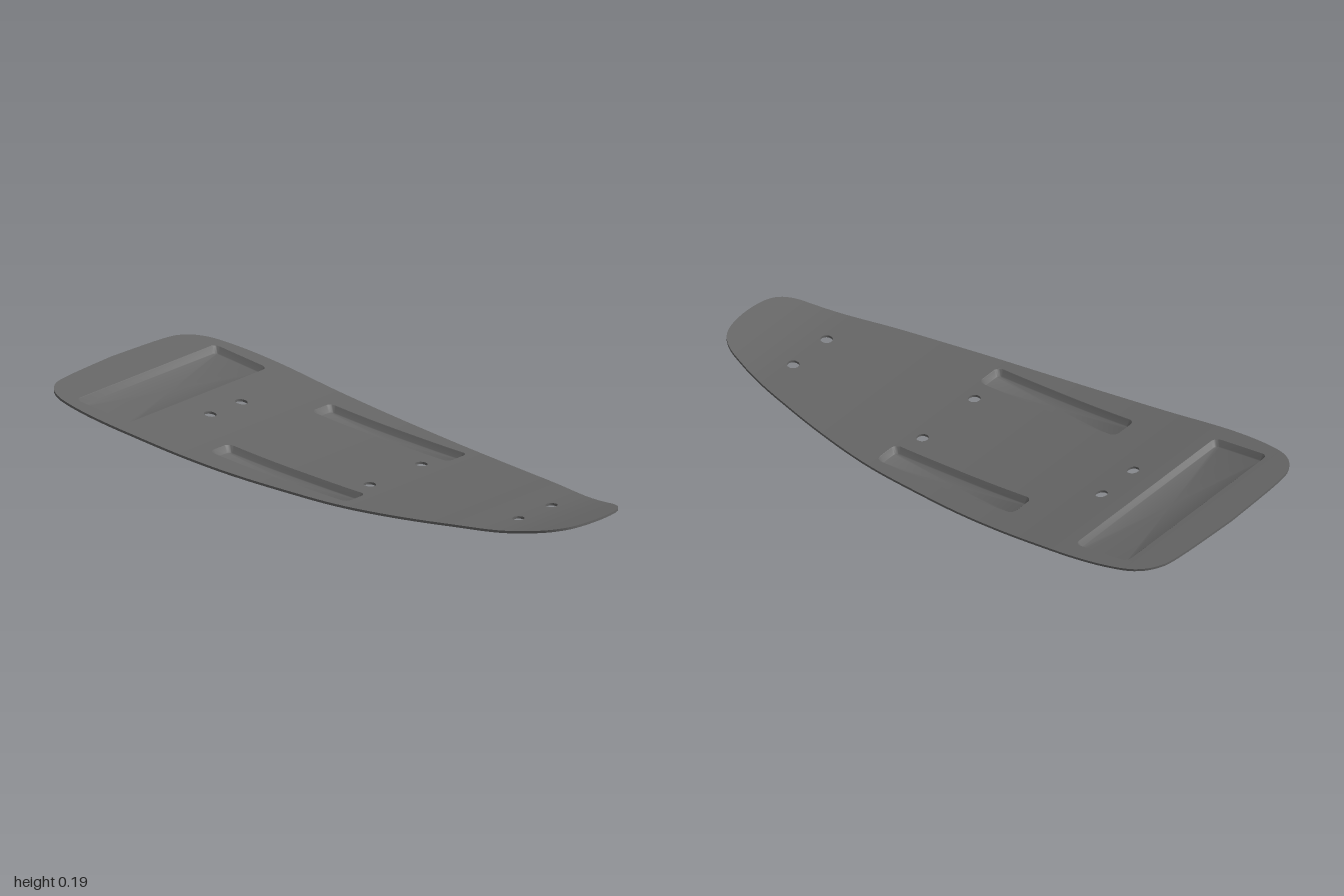
import * as THREE from 'three';
import { toCreasedNormals } from 'three/addons/utils/BufferGeometryUtils.js';

const THICK = 0.008;
const STEP = 0.04;

// Height of the plate's upper face, every 0.2 along z from -1.2 to 1.2
const heights = [0.215, 0.187, 0.155, 0.123, 0.09, 0.064, 0.045, 0.03, 0.024, 0.024, 0.027, 0.058, 0.1];
const profile = new THREE.SplineCurve(heights.map((y, i) => new THREE.Vector2(-1.2 + 0.2 * i, y)));
const height = (z) => profile.getPoint((z + 1.2) / 2.4).y;
const slope = (z) => (height(z + 0.005) - height(z - 0.005)) / 0.01;

// Keep the part of a polygon where side * (z - limit) >= 0
function clip(poly, limit, side) {
  const out = [];
  poly.forEach((a, i) => {
    const b = poly[(i + 1) % poly.length];
    const da = side * (a[2] - limit), db = side * (b[2] - limit);
    if (da >= 0) out.push(a);
    if ((da > 0 && db < 0) || (da < 0 && db > 0)) {
      const t = da / (da - db);
      out.push(a.map((v, k) => v + (b[k] - v) * t));
    }
  });
  return out;
}

// Slice a flat part into strips across z, then lift it onto the curved profile
function bend(geometry) {
  const flat = geometry.index ? geometry.toNonIndexed() : geometry;
  flat.rotateX(Math.PI / 2);
  const p = flat.attributes.position, n = flat.attributes.normal;
  const positions = [], normals = [];
  const put = ([x, y, z, nx, ny, nz]) => {
    positions.push(x, y + height(z), z);
    const v = new THREE.Vector3(nx, ny, nz - slope(z) * ny).normalize();
    normals.push(v.x, v.y, v.z);
  };
  for (let i = 0; i < p.count; i += 3) {
    const tri = [0, 1, 2].map((k) => [
      p.getX(i + k), p.getY(i + k), p.getZ(i + k), n.getX(i + k), n.getY(i + k), n.getZ(i + k)]);
    const zs = tri.map((v) => v[2]);
    const first = Math.floor(Math.min(...zs) / STEP), last = Math.floor(Math.max(...zs) / STEP);
    for (let s = first; s <= last; s++) {
      const piece = clip(clip(tri, s * STEP, 1), (s + 1) * STEP, -1);
      for (let k = 1; k + 1 < piece.length; k++) [piece[0], piece[k], piece[k + 1]].forEach(put);
    }
  }
  const g = new THREE.BufferGeometry();
  g.setAttribute('position', new THREE.Float32BufferAttribute(positions, 3));
  g.setAttribute('normal', new THREE.Float32BufferAttribute(normals, 3));
  return g;
}

// Counter-clockwise rounded rectangle as a loop of points
function roundedLoop(cx, cz, w, l, r) {
  const loop = [];
  [[1, 1], [-1, 1], [-1, -1], [1, -1]].forEach(([sx, sz], q) => {
    for (let i = 0; i <= 6; i++) {
      const a = (q + i / 6) * Math.PI / 2;
      loop.push(new THREE.Vector2(
        cx + sx * (w / 2 - r) + r * Math.cos(a), cz + sz * (l / 2 - r) + r * Math.sin(a)));
    }
  });
  return loop;
}

// Pressed tray: upper and lower skins with sloped walls and a flat floor
function trayGeometry({ x, z, w, l, r }) {
  const rings = [[0, 0], [0.002, 0.002], [0.011, 0.02], [0.014, 0.022]];
  const pos = [];
  for (const lower of [false, true]) {
    const tri = (a, b, c) => (lower ? [a, b, c] : [a, c, b]).forEach((v) => pos.push(...v));
    const loops = rings.map(([inset, depth]) =>
      roundedLoop(x, z, w - 2 * inset, l - 2 * inset, r - inset * 0.6)
        .map((v) => [v.x, v.y, depth + (lower ? THICK : 0)]));
    const floor = loops[loops.length - 1];
    for (let i = 0; i < floor.length; i++) {
      const j = (i + 1) % floor.length;
      for (let k = 0; k + 1 < loops.length; k++) {
        tri(loops[k][i], loops[k][j], loops[k + 1][j]);
        tri(loops[k][i], loops[k + 1][j], loops[k + 1][i]);
      }
      tri([x, z, floor[0][2]], floor[i], floor[j]);
    }
  }
  const g = new THREE.BufferGeometry();
  g.setAttribute('position', new THREE.Float32BufferAttribute(pos, 3));
  return toCreasedNormals(g, 0.6);
}

export function createModel() {
  const model = new THREE.Group();
  model.name = 'curvedPlate';
  const grey = new THREE.MeshStandardMaterial({ color: 0x666666 });
  grey.name = 'darkGrey';

  // Tapered outline: one half from tail to nose, then mirrored
  const half = [[0.25, -0.988], [0.335, -0.965], [0.385, -0.91], [0.408, -0.82], [0.418, -0.7],
    [0.416, -0.55], [0.4, -0.25], [0.376, 0], [0.346, 0.24], [0.298, 0.48], [0.245, 0.69],
    [0.193, 0.86], [0.16, 0.94], [0.105, 0.985]];
  const mirrored = half.map(([x, z]) => [-x, z]).reverse();
  const outline = new THREE.SplineCurve(
    [[0, -1], ...half, [0, 1], ...mirrored, [0, -1]].map(([x, z]) => new THREE.Vector2(x, z)));
  const shape = new THREE.Shape(outline.getPoints(150).slice(0, -1));

  // Three pairs of bolt holes
  for (const [x, z] of [[0.08, -0.53], [0.132, 0.165], [0.085, 0.735]]) {
    for (const side of [-1, 1]) {
      shape.holes.push(new THREE.Path().absarc(side * x, z, 0.02, 0, Math.PI * 2, true));
    }
  }

  // Openings for the trays
  const trays = [
    { name: 'rearTray', x: 0, z: -0.752, w: 0.714, l: 0.216, r: 0.022 },
    { name: 'leftTray', x: 0.261, z: -0.069, w: 0.1, l: 0.562, r: 0.022 },
    { name: 'rightTray', x: -0.261, z: -0.069, w: 0.1, l: 0.562, r: 0.022 },
  ];
  for (const t of trays) shape.holes.push(new THREE.Path(roundedLoop(t.x, t.z, t.w, t.l, t.r)));

  const add = (name, geometry) => {
    const mesh = new THREE.Mesh(bend(geometry), grey);
    mesh.name = name;
    model.add(mesh);
  };
  add('plate', new THREE.ExtrudeGeometry(shape, { depth: THICK, bevelEnabled: false, curveSegments: 24 }));
  for (const t of trays) add(t.name, trayGeometry(t));
  return model;
}
